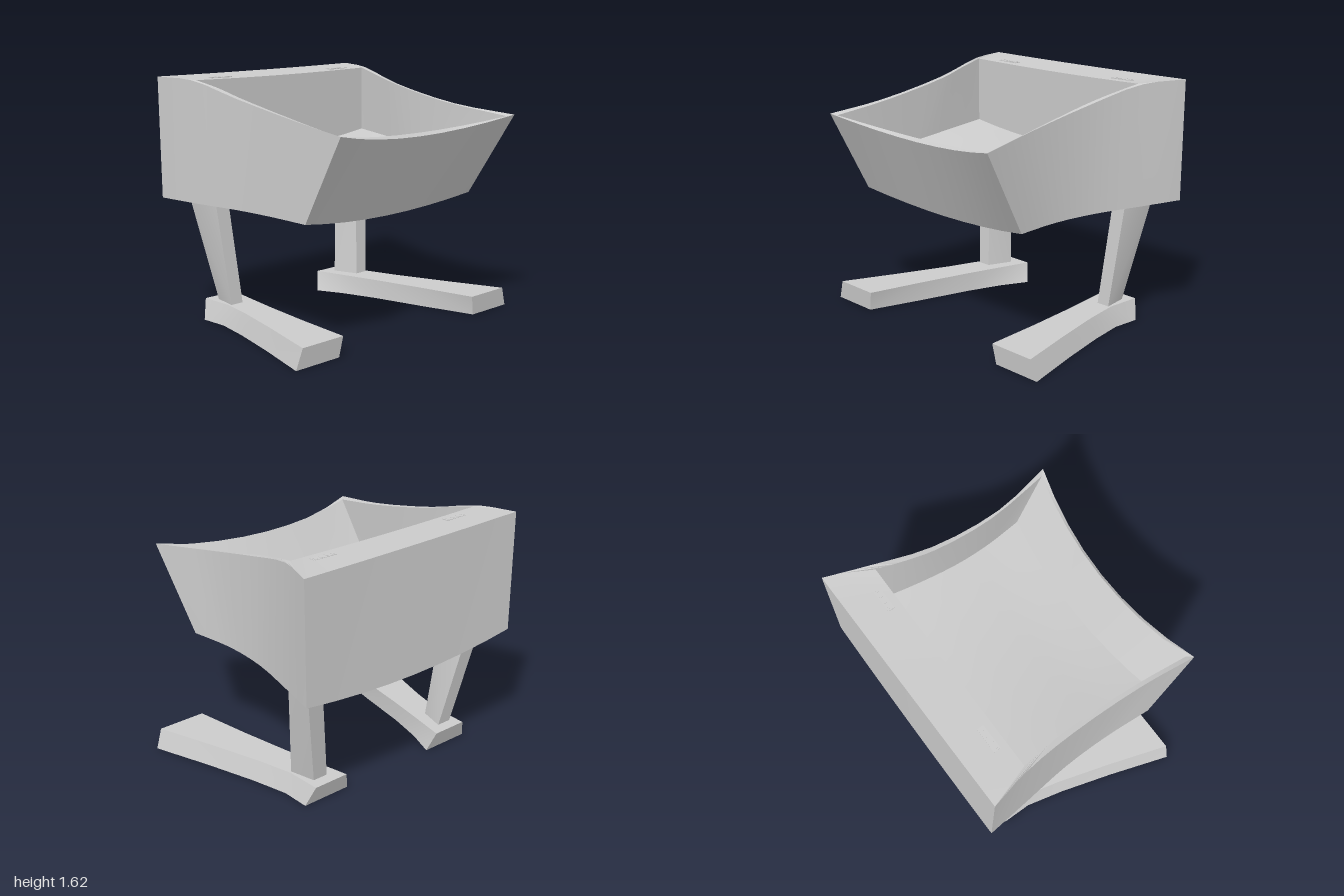
import * as THREE from 'three';
import { toCreasedNormals } from 'three/addons/utils/BufferGeometryUtils.js';

const material = new THREE.MeshStandardMaterial({ color: 0xcccccc });
const NX = 8, NZ = 12; // divisions across and along the tub

function toMesh(name, quads) {
  const pos = [];
  for (const [a, b, c, d] of quads) {
    for (const p of [a, b, c, a, c, d]) pos.push(p.x, p.y, p.z);
  }
  const geo = new THREE.BufferGeometry();
  geo.setAttribute('position', new THREE.Float32BufferAttribute(pos, 3));
  const mesh = new THREE.Mesh(toCreasedNormals(geo, 0.45), material);
  mesh.name = name;
  return mesh;
}

// Quads joining closed rings that run counterclockwise seen from the far end
function skin(rings) {
  const quads = [];
  for (let k = 0; k < rings.length - 1; k++) {
    const a = rings[k], b = rings[k + 1];
    a.forEach((p, i) => {
      const j = (i + 1) % a.length;
      quads.push([p, a[j], b[j], b[i]]);
    });
  }
  return quads;
}

// Solid made of four-cornered rings, closed at both ends
function bar(name, rings) {
  const r = rings.map(ring => ring.map(p => new THREE.Vector3(...p)));
  return toMesh(name, [...skin(r), [...r[0]].reverse(), r[r.length - 1]]);
}

// A sagging sheet between two side curves (back to front); gives its points by u across, v along
function sheet({ left, right, backSag, frontSag, frontIn }) {
  const [l, r] = [left, right].map(pts =>
    new THREE.CatmullRomCurve3(pts.map(p => new THREE.Vector3(...p))));
  return (u, v) => {
    const p = l.getPoint(v).lerp(r.getPoint(v), u);
    const bow = 4 * u * (1 - u);
    p.y -= bow * THREE.MathUtils.lerp(backSag, frontSag, v);
    p.z -= bow * frontIn * v;
    return p;
  };
}

// Edge of a sheet: front, right side, back, left side
function outline(f) {
  const ring = [];
  for (let i = 0; i < NX; i++) ring.push(f(i / NX, 1));
  for (let i = 0; i < NZ; i++) ring.push(f(1, 1 - i / NZ));
  for (let i = 0; i < NX; i++) ring.push(f(1 - i / NX, 0));
  for (let i = 0; i < NZ; i++) ring.push(f(0, i / NZ));
  return ring;
}

function fill(f, up) {
  const quads = [];
  for (let i = 0; i < NX; i++) for (let j = 0; j < NZ; j++) {
    const u = i / NX, U = (i + 1) / NX, v = j / NZ, V = (j + 1) / NZ;
    const q = [f(u, V), f(U, V), f(U, v), f(u, v)];
    quads.push(up ? q : q.reverse());
  }
  return quads;
}

function buildTub() {
  const tub = new THREE.Group();
  tub.name = 'tub';
  const underside = sheet({
    left: [[-.855, .82, -.81], [-.82, .815, -.5], [-.785, .815, -.18], [-.78, .815, .15], [-.8, .815, .48]],
    right: [[.86, .82, -.81], [.78, .815, -.5], [.71, .815, -.18], [.69, .815, .15], [.73, .815, .48]],
    backSag: .06, frontSag: .06, frontIn: .05,
  });
  const outerRim = sheet({
    left: [[-.885, 1.615, -.79], [-.825, 1.603, -.52], [-.78, 1.51, -.15], [-.77, 1.41, .38], [-.8, 1.36, .77]],
    right: [[.87, 1.615, -.81], [.77, 1.603, -.52], [.69, 1.51, -.13], [.695, 1.41, .38], [.79, 1.36, .8]],
    backSag: .005, frontSag: .08, frontIn: .11,
  });
  const innerRim = sheet({
    left: [[-.79, 1.602, -.515], [-.762, 1.56, -.33], [-.743, 1.51, -.15], [-.74, 1.41, .35], [-.765, 1.35, .735]],
    right: [[.73, 1.602, -.515], [.69, 1.56, -.33], [.66, 1.51, -.12], [.67, 1.42, .3], [.755, 1.35, .765]],
    backSag: .008, frontSag: .05, frontIn: .095,
  });
  const floor = sheet({
    left: [[-.79, 1.16, -.515], [-.762, 1.14, -.27], [-.745, 1.11, 0], [-.745, 1.08, .25], [-.75, 1.06, .515]],
    right: [[.73, 1.16, -.515], [.69, 1.14, -.27], [.665, 1.11, 0], [.67, 1.08, .25], [.7, 1.06, .525]],
    backSag: .06, frontSag: .06, frontIn: .06,
  });
  tub.add(
    toMesh('walls', skin([underside, outerRim, innerRim, floor].map(outline))),
    toMesh('floor', fill(floor, true)),
    toMesh('underside', fill(underside, false)),
  );
  return tub;
}

// Leg, splayed foot and vent of one side; the foot bends outward to the front
function buildSide(name) {
  const side = new THREE.Group();
  side.name = name;
  side.add(bar('leg', [
    [[.545, .12, -.385], [.64, .12, -.385], [.6, .12, -.56], [.495, .12, -.56]],
    [[.6, .81, -.45], [.705, .81, -.45], [.735, .81, -.67], [.62, .81, -.67]],
  ]));
  // z bottom, z top, then x of inner bottom, outer bottom, outer top, inner top
  const sections = [
    [-.595, -.64, .355, .7, .65, .4],
    [-.4, -.4, .43, .7, .655, .45],
    [-.15, -.15, .495, .76, .715, .5],
    [.2, .2, .56, .865, .82, .56],
    [.605, .615, .645, 1, .955, .62],
  ];
  side.add(bar('foot', sections.map(([zb, zt, ib, ob, ot, it]) =>
    [[ib, 0, zb], [ob, 0, zb], [ot, .13, zt], [it, .13, zt]])));

  // Small slotted plate on the back ledge
  const vent = new THREE.Group();
  vent.name = 'vent';
  vent.position.set(.54, 1.602, -.585);
  const box = (w, h, d, x, partName) => {
    const m = new THREE.Mesh(new THREE.BoxGeometry(w, h, d), material);
    m.position.x = x;
    m.name = partName;
    vent.add(m);
  };
  box(.17, .006, .045, 0, 'ventPlate');
  for (let i = 0; i < 4; i++) box(.016, .01, .028, -.066 + i * .044, 'ventTab');
  side.add(vent);
  return side;
}

export function createModel() {
  const model = new THREE.Group();
  model.name = 'tubOnLegs';
  const right = buildSide('rightSupport');
  right.scale.x = -1;
  model.add(buildTub(), buildSide('leftSupport'), right);
  return model;
}
